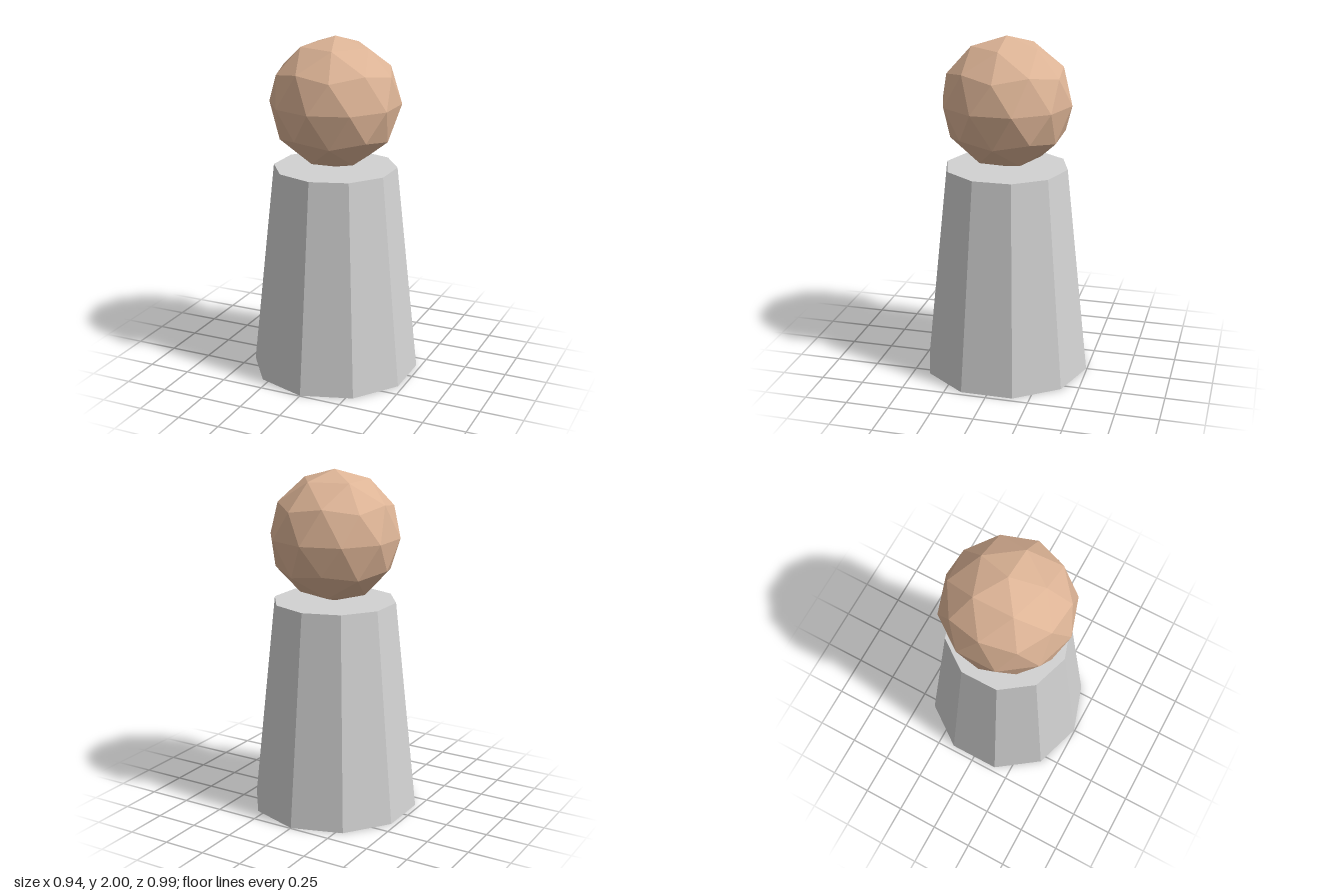
import * as THREE from 'three';

export function createModel() {
  const model = new THREE.Group();
  const skin = new THREE.MeshStandardMaterial({ name: 'skin tan', color: 0xddb496, flatShading: true });
  const grey = new THREE.MeshStandardMaterial({ name: 'body grey', color: 0xd2d2d2, flatShading: true });

  function addPart(name, geometry, material, y) {
    const mesh = new THREE.Mesh(geometry, material);
    mesh.name = name;
    mesh.position.y = y;
    model.add(mesh);
  }

  // Tapered ten-sided body with a corner facing front
  const bodyHeight = 1.245;
  const body = new THREE.CylinderGeometry(0.36, 0.495, bodyHeight, 10).toNonIndexed();
  body.computeVertexNormals();
  addPart('body', body, grey, bodyHeight / 2);

  // Faceted ball head, turned so that one five-way corner points straight up
  const headRadius = 0.38;
  const head = new THREE.IcosahedronGeometry(headRadius, 1);
  head.rotateZ(-Math.atan(2 / (1 + Math.sqrt(5))));
  head.computeVertexNormals();
  addPart('head', head, skin, 2 - headRadius);

  return model;
}
